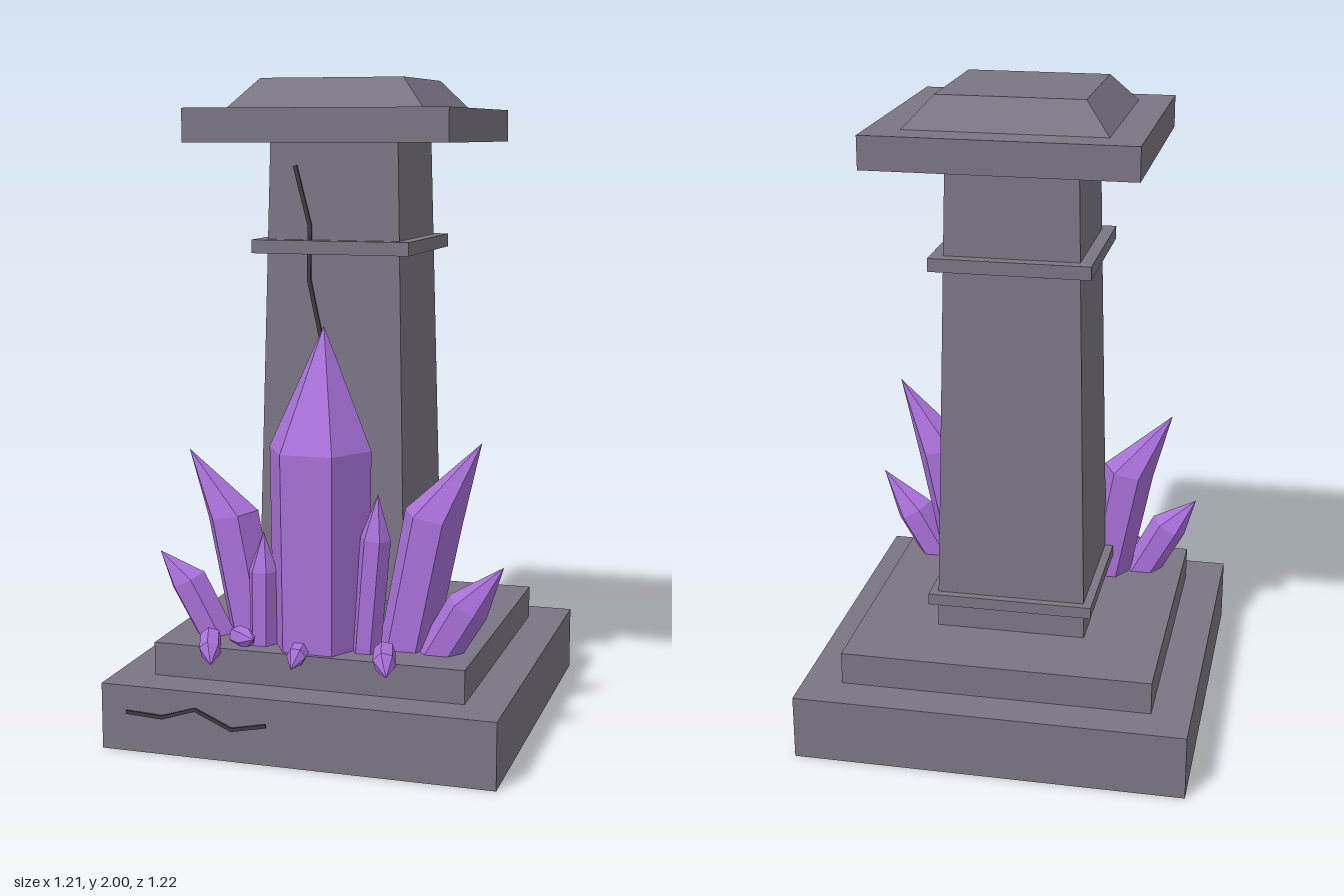
import * as THREE from 'three';

export function createModel() {
  const model = new THREE.Group();
  const make = (name, color) => {
    const m = new THREE.MeshStandardMaterial({ color, flatShading: true });
    m.name = name;
    return m;
  };
  const stone = make('stone', 0x7b7583);
  const crackDark = make('crackDark', 0x3d3a42);
  const violet = make('violetCrystal', 0xa870d8);
  const CZ = -0.003; // centre of the masonry in z

  const add = (name, geometry, material) => {
    const mesh = new THREE.Mesh(geometry, material);
    mesh.name = name;
    model.add(mesh);
    return mesh;
  };

  // Square block whose half width may change from bottom to top
  const block = (name, y0, y1, half, topHalf = half) => {
    const g = new THREE.BoxGeometry(2, y1 - y0, 2);
    const p = g.attributes.position;
    for (let i = 0; i < p.count; i++) {
      const s = p.getY(i) > 0 ? topHalf : half;
      p.setXYZ(i, p.getX(i) * s, p.getY(i) + (y0 + y1) / 2, p.getZ(i) * s + CZ);
    }
    g.computeVertexNormals();
    add(name, g, stone);
  };

  block('basePlinth', 0, 0.203, 0.606);
  block('upperPlinth', 0.203, 0.305, 0.484);
  block('shaft', 0.305, 1.81, 0.236, 0.2);
  block('lowerBand', 0.386, 0.422, 0.26);
  block('upperBand', 1.477, 1.518, 0.246);
  block('capSlab', 1.81, 1.91, 0.404);
  block('capTop', 1.91, 2.0, 0.302, 0.222);

  // Thin jagged plate that follows a line across a front face
  const crack = (name, points, faceZ, width) => {
    const line = points.map(([x, y]) => new THREE.Vector2(x, y));
    const side = (sign) => line.map((pt, i) => {
      const a = line[Math.max(i - 1, 0)], b = line[Math.min(i + 1, line.length - 1)];
      const d = b.clone().sub(a).normalize();
      return new THREE.Vector2(pt.x - d.y * sign * width / 2, pt.y + d.x * sign * width / 2);
    });
    const g = new THREE.ExtrudeGeometry(
      new THREE.Shape([...side(1), ...side(-1).reverse()]), { depth: 0.009, bevelEnabled: false });
    const p = g.attributes.position;
    for (let i = 0; i < p.count; i++) p.setZ(i, p.getZ(i) - 0.002 + faceZ(p.getY(i)));
    g.computeVertexNormals();
    add(name, g, crackDark);
  };

  crack('shaftCrack', [[-0.12, 1.74], [-0.072, 1.56], [-0.074, 1.4], [-0.03, 1.2], [-0.04, 1.1]],
    (y) => CZ + 0.236 - 0.036 * (y - 0.305) / 1.505, 0.012);
  crack('baseCrack', [[-0.525, 0.122], [-0.41, 0.116], [-0.305, 0.15], [-0.19, 0.1], [-0.083, 0.122]],
    () => CZ + 0.606, 0.011);

  // Six-sided crystal: prism from base to shoulder, then a point that may be off axis
  const crystal = (name, base, shoulder, tip, radius) => {
    const b = new THREE.Vector3(...base), s = new THREE.Vector3(...shoulder);
    const t = new THREE.Vector3(...tip);
    const turn = new THREE.Quaternion().setFromUnitVectors(
      new THREE.Vector3(0, 1, 0), s.clone().sub(b).normalize());
    const centres = [b, b, s, t], radii = [0, radius * 0.95, radius, 0];
    const g = new THREE.CylinderGeometry(1, 1, 3, 6, 3, true, Math.PI / 6);
    const p = g.attributes.position, v = new THREE.Vector3();
    for (let i = 0; i < p.count; i++) {
      const row = Math.round(p.getY(i) + 1.5);
      v.set(p.getX(i), 0, p.getZ(i)).multiplyScalar(radii[row]);
      v.applyQuaternion(turn).add(centres[row]);
      p.setXYZ(i, v.x, v.y, v.z);
    }
    g.computeVertexNormals();
    add(name, g, violet);
  };

  // Main cluster, rooted in the upper plinth
  crystal('centreCrystal', [0, 0.29, 0.335], [0, 0.905, 0.335], [0, 1.27, 0.295], 0.16);
  crystal('leftTallCrystal', [0.255, 0.28, 0.285], [0.34, 0.71, 0.285], [0.485, 0.938, 0.29], 0.09);
  crystal('rightTallCrystal', [-0.225, 0.28, 0.28], [-0.3, 0.675, 0.28], [-0.44, 0.872, 0.285], 0.083);
  crystal('leftOuterCrystal', [0.355, 0.28, 0.315], [0.455, 0.45, 0.32], [0.565, 0.58, 0.335], 0.065);
  crystal('rightOuterCrystal', [-0.335, 0.28, 0.315], [-0.435, 0.465, 0.32], [-0.522, 0.555, 0.335], 0.06);
  crystal('leftSlimCrystal', [0.155, 0.285, 0.375], [0.185, 0.65, 0.375], [0.192, 0.785, 0.375], 0.047);
  crystal('rightSlimCrystal', [-0.165, 0.285, 0.39], [-0.165, 0.53, 0.385], [-0.165, 0.65, 0.38], 0.045);

  // Loose shards lying on the plinth edge
  crystal('rightShard', [-0.32, 0.325, 0.43], [-0.298, 0.3, 0.495], [-0.28, 0.268, 0.537], 0.034);
  crystal('centreShard', [-0.025, 0.32, 0.44], [-0.025, 0.305, 0.495], [-0.03, 0.275, 0.532], 0.03);
  crystal('leftShard', [0.228, 0.325, 0.425], [0.246, 0.31, 0.495], [0.263, 0.278, 0.535], 0.035);
  crystal('innerShard', [-0.25, 0.32, 0.385], [-0.205, 0.325, 0.43], [-0.17, 0.335, 0.463], 0.032);

  return model;
}
